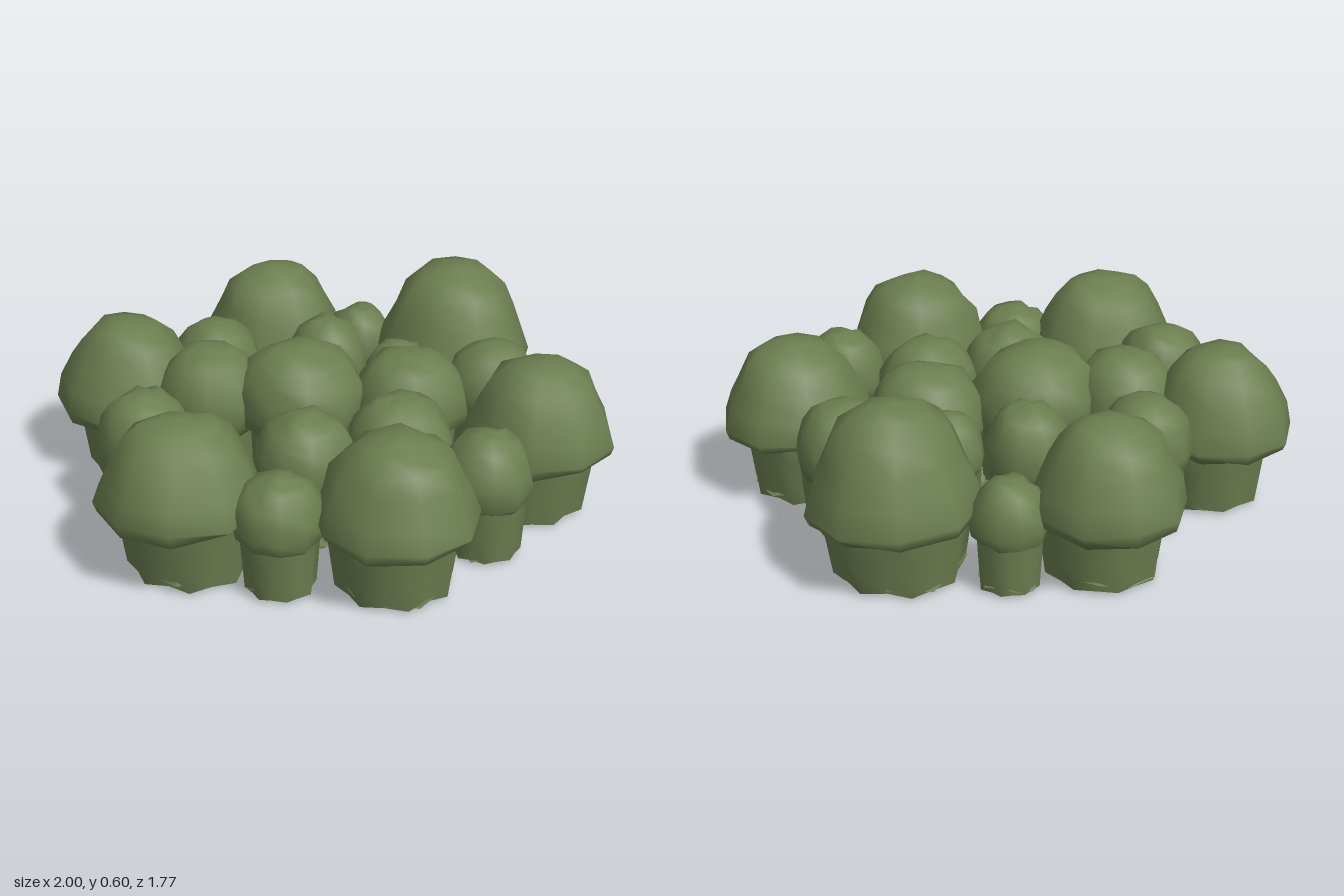
import * as THREE from 'three';

const green = new THREE.MeshStandardMaterial({ color: 0x6b7d4f, side: THREE.DoubleSide });
green.name = 'moss green';

// Small seeded generator, returns -1..1
function seeded(seed) {
  let s = seed * 7919 + 13;
  const next = () => {
    s = (s * 16807) % 2147483647;
    return (s / 2147483647) * 2 - 1;
  };
  for (let i = 0; i < 5; i++) next();
  return next;
}

const polar = (a, r, y) => [Math.cos(a) * r, y, -Math.sin(a) * r];

// Skin a stack of closed rings; point(ring, angle, side) gives [x, y, z].
// Rings run from bottom to top, shared vertices keep it smooth.
function skin(rings, sides, phase, point) {
  const pos = [], index = [];
  for (let i = 0; i < rings; i++)
    for (let j = 0; j < sides; j++) pos.push(...point(i, phase + (j / sides) * Math.PI * 2, j));
  for (let i = 0; i < rings - 1; i++)
    for (let j = 0; j < sides; j++) {
      const a = i * sides + j, b = i * sides + (j + 1) % sides;
      index.push(a, b, a + sides, b, b + sides, a + sides);
    }
  const g = new THREE.BufferGeometry();
  g.setAttribute('position', new THREE.Float32BufferAttribute(pos, 3));
  g.setIndex(index);
  g.computeVertexNormals();
  return g;
}

// Domed tops: [radius factor, height factor between rim bottom and peak]
const WIDE_DOME = [[0.7, 0.07], [0.84, 0.02], [0.96, 0.06], [1, 0.15], [0.92, 0.35],
  [0.79, 0.6], [0.64, 0.8], [0.43, 0.93], [0.2, 0.985], [0.001, 1]];
const ROUND_DOME = [[0.7, 0.06], [0.84, 0], [0.95, 0.08], [1, 0.25], [0.97, 0.45],
  [0.87, 0.66], [0.68, 0.84], [0.42, 0.95], [0.2, 0.99], [0.001, 1]];

function domeGeometry(profile, sides, R, low, top, phase, rand) {
  const lobes = Array.from({ length: sides }, (_, j) => (j ? 1.015 + 0.035 * rand() : 1));
  return skin(profile.length, sides, phase, (i, a, j) => {
    const [f, h] = profile[i];
    const rough = i > 3 ? 1 + 0.035 * rand() : 1;
    const wobble = i < profile.length - 2 ? 0.012 * rand() : 0;
    return polar(a, R * f * lobes[j] * rough, low + (top - low) * h + wobble);
  });
}

// Pleated cup, wider at the top
function cupGeometry(R, low, foot, brim, phase, rand) {
  const sides = 16;
  const pleat = Array.from({ length: sides }, (_, j) => (j % 2 ? 0.88 : 1) + 0.03 * rand());
  return skin(4, sides, phase, (i, a, j) => {
    const t = i / 3;
    return polar(a, R * (foot + (brim - foot) * t) * pleat[j], 0.008 + (low + 0.02) * t);
  });
}

// Crumpled underside with a ragged edge
function baseGeometry(R, foot, phase, rand) {
  const g = skin(4, 11, phase, (i, a) => {
    const r = R * [foot - 0.03 + 0.06 * rand(), foot * 0.7, foot * 0.35, 0.001][i];
    return polar(a, r, i === 3 ? 0.03 : 0.025 + 0.02 * rand());
  }).toNonIndexed();
  g.computeVertexNormals();
  return g;
}

// Torn four-cornered scraps, tilted around the foot of the cup
function scrapGeometry(R, count, rand) {
  const pos = [];
  for (let k = 0; k < count; k++) {
    const a = (k / count) * Math.PI * 2 + rand() * 0.5;
    const w = 0.45 + 0.15 * rand();
    const y = 0.05 + 0.035 * rand();
    const p = polar(a - w, R * 0.6, y);
    const q = polar(a + w, R * 0.65, y + 0.05);
    const s = polar(a + w * 0.6, R * (1.02 + 0.1 * rand()), y + 0.05 * rand() + 0.02);
    const t = polar(a - w * 0.5, R * 0.98, y - 0.01);
    pos.push(...p, ...q, ...s, ...p, ...s, ...t);
  }
  const g = new THREE.BufferGeometry();
  g.setAttribute('position', new THREE.Float32BufferAttribute(pos, 3));
  g.computeVertexNormals();
  return g;
}

// x, z, radius, rim bottom, peak height, angle of the first corner
const LARGE = [
  [-0.345, -0.645, 0.25, 0.2, 0.54, 1.6],
  [0.35, -0.605, 0.25, 0.2, 0.55, 1.6],
  [-0.73, 0.035, 0.27, 0.21, 0.54, Math.PI],
  [0.715, -0.03, 0.285, 0.2, 0.6, 0],
  [-0.35, 0.62, 0.262, 0.21, 0.54, -1.4],
  [0.38, 0.62, 0.258, 0.21, 0.54, -1.2],
];
const SMALL = [
  [-0.015, -0.535, 0.16, 0.21, 0.46, 1.5],
  [-0.58, -0.295, 0.165, 0.21, 0.46, 2.4],
  [-0.24, -0.335, 0.185, 0.22, 0.5, 2],
  [0.26, -0.25, 0.145, 0.22, 0.47, 1],
  [0.58, -0.38, 0.125, 0.17, 0.37, 0.3],
  [-0.05, -0.085, 0.22, 0.24, 0.525, 1.5],
  [0.365, 0, 0.125, 0.2, 0.42, 0.5],
  [0.215, 0.18, 0.2, 0.22, 0.49, 0.2],
  [-0.31, 0.18, 0.165, 0.21, 0.45, 2.8],
  [-0.03, 0.345, 0.175, 0.21, 0.46, 4.5],
  [0.535, 0.29, 0.165, 0.2, 0.45, 0],
  [-0.6, 0.345, 0.148, 0.18, 0.4, 3.3],
  [0.02, 0.68, 0.148, 0.19, 0.435, 4.6],
];

function makeMuffin(name, [x, z, R, low, top, phase], seed, large) {
  const rand = seeded(seed);
  const foot = large ? 0.75 : 0.8;
  const brim = large ? 0.87 : 0.9;
  // Cups of the outer ring sit a little closer to the middle than their tops
  const inward = large ? -0.035 / Math.hypot(x, z) : 0;
  const muffin = new THREE.Group();
  muffin.name = name;
  const add = (part, geometry, shift) => {
    const mesh = new THREE.Mesh(geometry, green);
    mesh.name = part;
    mesh.position.set(x * shift, 0, z * shift);
    muffin.add(mesh);
  };
  add('domedTop', domeGeometry(large ? WIDE_DOME : ROUND_DOME, large ? 9 : 10, R, low, top, phase, rand), 0);
  add('pleatedCup', cupGeometry(R, low, foot, brim, phase, rand), inward);
  add('cupBase', baseGeometry(R, foot, phase, rand), inward);
  // Scraps gather only in the middle of the cluster
  if (!large && Math.hypot(x, z) < 0.5) add('paperScraps', scrapGeometry(R, 6, rand), 0);
  muffin.position.set(x, 0, z);
  return muffin;
}

export function createModel() {
  const model = new THREE.Group();
  model.name = 'muffinCluster';
  LARGE.forEach((m, i) => model.add(makeMuffin('largeMuffin' + (i + 1), m, i + 3, true)));
  SMALL.forEach((m, i) => model.add(makeMuffin('smallMuffin' + (i + 1), m, i + 41, false)));
  return model;
}
